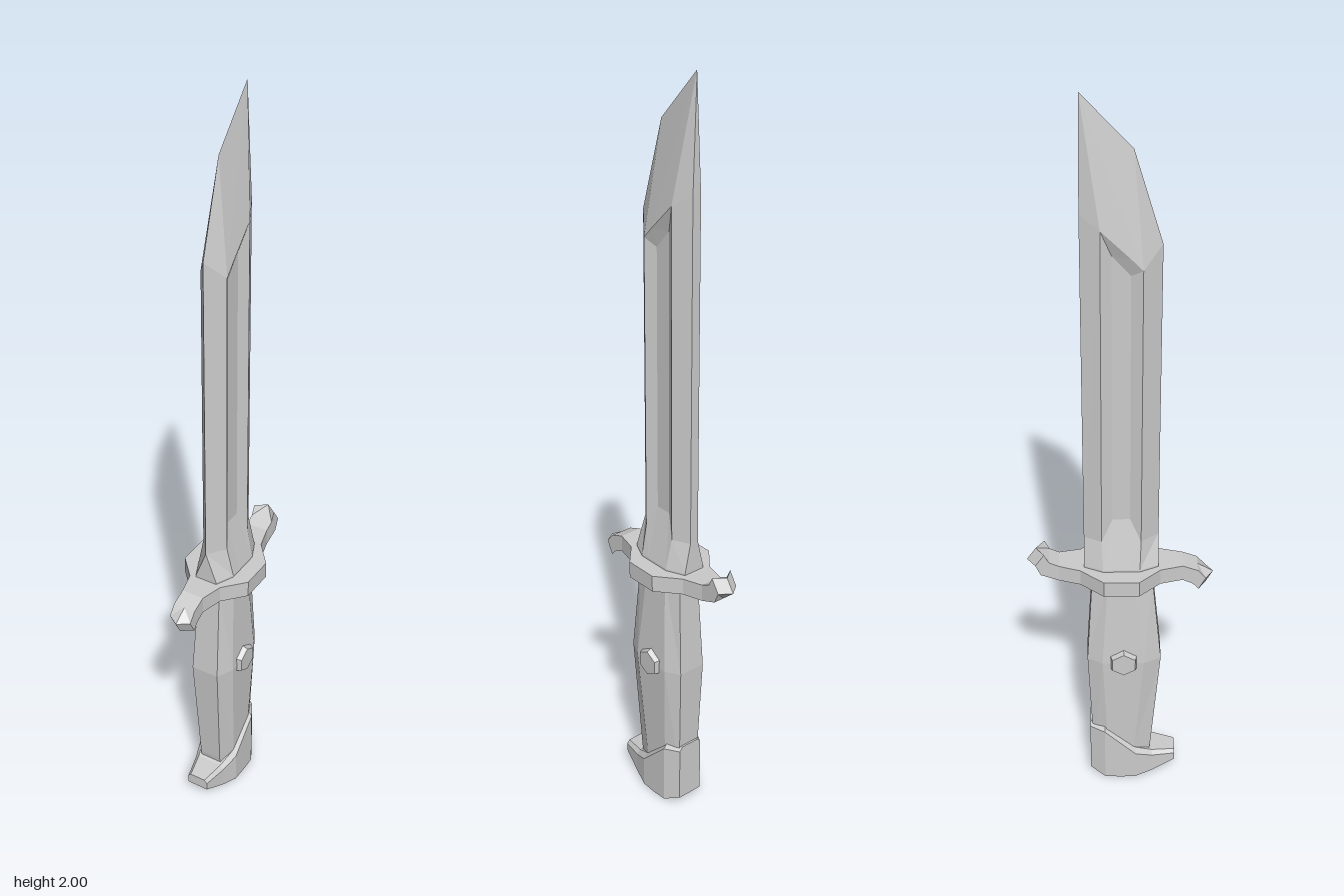
import * as THREE from 'three';

const material = new THREE.MeshStandardMaterial({ color: 0xcccccc, flatShading: true });

// Skin through sections. Each section lists the points of its x >= 0 half; the other half is mirrored.
function loft(name, halves) {
  const rings = halves.map(h => [...h, ...h.map(([x, y, z]) => [-x, y, z]).reverse()]);
  const n = rings[0].length;
  const half = n / 2;
  const pos = [];
  const tri = (a, b, c) => {
    const [A, B, C] = [a, b, c].map(p => new THREE.Vector3(...p));
    if (B.clone().sub(A).cross(C.clone().sub(A)).length() > 1e-8) pos.push(...a, ...b, ...c);
  };
  for (let i = 0; i < rings.length - 1; i++) {
    for (let j = 0; j < n; j++) {
      const k = (j + 1) % n;
      const a = rings[i][j], b = rings[i][k], c = rings[i + 1][k], d = rings[i + 1][j];
      // diagonals are mirrored between the two halves
      if (j < half) { tri(a, b, d); tri(b, c, d); }
      else { tri(a, b, c); tri(a, c, d); }
    }
  }
  const first = rings[0], last = rings[rings.length - 1];
  for (let j = 1; j < n - 1; j++) {
    tri(first[0], first[j + 1], first[j]);
    tri(last[0], last[j], last[j + 1]);
  }
  const g = new THREE.BufferGeometry();
  g.setAttribute('position', new THREE.Float32BufferAttribute(pos, 3));
  g.computeVertexNormals();
  const mesh = new THREE.Mesh(g, material);
  mesh.name = name;
  return mesh;
}

export function createModel() {
  const model = new THREE.Group();
  model.name = 'knife';

  // Blade: thick base, grooved sides, clipped point
  const tip = [0, 2, -0.092];
  const base = y => [[0.03, y, 0.095], [0.052, y, 0.047], [0.052, y, 0.022],
    [0.052, y, -0.022], [0.052, y, -0.047], [0.03, y, -0.096]];
  model.add(loft('blade', [
    base(0.71),
    base(0.74),
    [[0, 0.82, 0.095], [0.035, 0.82, 0.05], [0.02, 0.88, 0.022],
      [0.02, 0.88, -0.022], [0.035, 0.82, -0.05], [0.012, 0.82, -0.095]],
    [[0, 1.64, 0.095], [0.035, 1.59, 0.05], [0.02, 1.57, 0.022],
      [0.02, 1.62, -0.022], [0.035, 1.69, -0.048], [0.012, 1.72, -0.095]],
    [[0, 1.64, 0.095], [0.035, 1.59, 0.05], [0.035, 1.62, 0.022],
      [0.035, 1.664, -0.022], [0.035, 1.69, -0.048], [0.012, 1.72, -0.095]],
    [[0, 1.87, 0.028], tip, tip, tip, tip, tip],
  ]));

  // Guard: wide centre, arms curling down in front and up behind, pointed ends
  // columns: half width, top y, top z, bottom y, bottom z, reach of the point
  const guard = [
    [0.03, 0.695, 0.218, 0.66, 0.2, 0.02],
    [0.03, 0.72, 0.197, 0.677, 0.185, 0],
    [0.03, 0.735, 0.158, 0.69, 0.158, 0],
    [0.045, 0.735, 0.1, 0.69, 0.1, 0],
    [0.095, 0.735, 0.045, 0.69, 0.045, 0],
    [0.095, 0.735, -0.045, 0.69, -0.045, 0],
    [0.045, 0.735, -0.105, 0.69, -0.105, 0],
    [0.03, 0.738, -0.16, 0.692, -0.16, 0],
    [0.03, 0.75, -0.185, 0.71, -0.207, 0],
    [0.03, 0.775, -0.197, 0.74, -0.22, -0.022],
  ];
  model.add(loft('guard', guard.map(([w, ty, tz, by, bz, p]) =>
    [[0, ty, tz + p], [w, ty, tz], [w, by, bz], [0, by, bz + p]])));

  // Grip: chamfered, swelling in the middle
  // columns: y, front z, back z, half width, half width of the front and back faces
  const grip = [
    [0.07, 0.075, -0.075, 0.046, 0.03],
    [0.1, 0.08, -0.076, 0.047, 0.03],
    [0.43, 0.105, -0.09, 0.06, 0.038],
    [0.7, 0.08, -0.075, 0.045, 0.03],
  ];
  model.add(loft('grip', grip.map(([y, f, b, w, e]) =>
    [[e, y, f], [w, y, f - 0.045], [w, y, b + 0.04], [e, y, b]])));

  // Pommel: hooked at the front, sloping up to the back
  // columns: z, top y, bottom y, half width, chamfer
  const pommel = [
    [0.148, 0.072, 0.04, 0.03, 0.008],
    [0.085, 0.082, 0.012, 0.045, 0.01],
    [0.04, 0.103, 0.002, 0.058, 0.012],
    [0, 0.143, 0, 0.058, 0.012],
    [-0.045, 0.188, 0.003, 0.058, 0.012],
    [-0.085, 0.188, 0.02, 0.036, 0.01],
  ];
  model.add(loft('pommel', pommel.map(([z, t, b, w, c]) =>
    [[w - c, t, z], [w, t - c * 1.2, z], [w, b, z], [0, b, z]])));

  // Hexagonal bolt through the grip
  const bolt = new THREE.Group();
  bolt.name = 'bolt';
  for (const side of [1, -1]) {
    const g = new THREE.CylinderGeometry(0.035, 0.043, 0.022, 6);
    g.rotateY(Math.PI / 6);
    g.rotateZ(-side * Math.PI / 2);
    g.translate(side * 0.061, 0.433, 0.006);
    const head = new THREE.Mesh(g, material);
    head.name = side > 0 ? 'leftBoltHead' : 'rightBoltHead';
    bolt.add(head);
  }
  model.add(bolt);
  return model;
}
